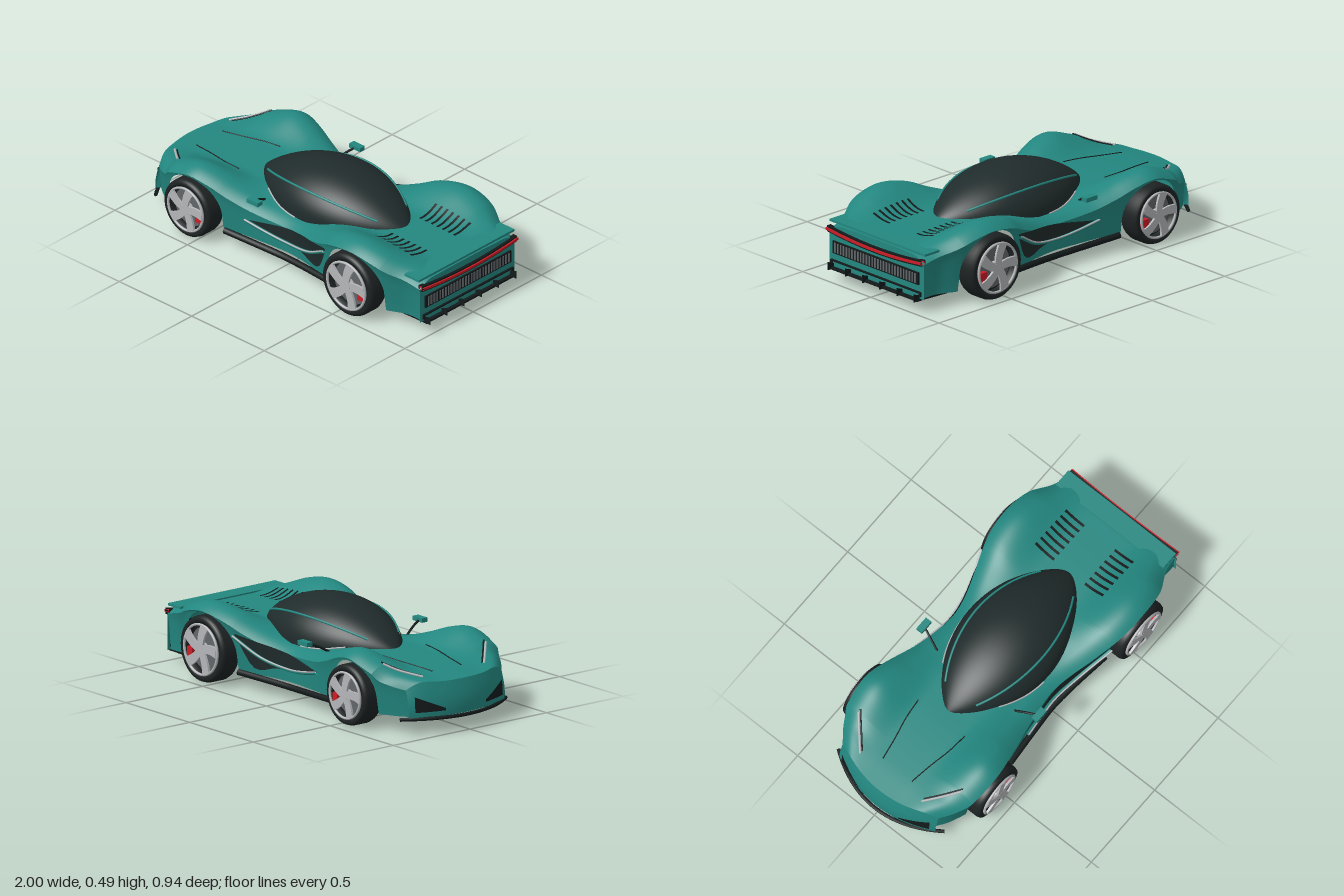
import * as THREE from 'three';

const mat = (name, color) => Object.assign(
  new THREE.MeshStandardMaterial({ color, side: THREE.DoubleSide }), { name });
const paint = mat('teal paint', 0x238780);
const glass = mat('dark glass', 0x202b2b);
const trim = mat('black trim', 0x141a1a);
const rubber = mat('tyre rubber', 0x1d2222);
const silver = mat('silver', 0xb4b6b9);
const gunmetal = mat('gunmetal', 0x62666a);
const red = mat('red', 0xcc1c26);

const { clamp, lerp, smoothstep } = THREE.MathUtils;
const V = (x, y, z) => new THREE.Vector3(x, y, z);

// Smooth curve through [x, value] pairs
function curve(pts) {
  const slope = i => {
    const a = pts[Math.max(i - 1, 0)], b = pts[Math.min(i + 1, pts.length - 1)];
    return (b[1] - a[1]) / (b[0] - a[0]);
  };
  return x => {
    x = clamp(x, pts[0][0], pts[pts.length - 1][0]);
    let i = 0;
    while (i < pts.length - 2 && x > pts[i + 1][0]) i++;
    const [x0, y0] = pts[i], [x1, y1] = pts[i + 1], h = x1 - x0, t = (x - x0) / h;
    const t2 = t * t, t3 = t2 * t;
    return (2 * t3 - 3 * t2 + 1) * y0 + (t3 - 2 * t2 + t) * h * slope(i)
      + (3 * t2 - 2 * t3) * y1 + (t3 - t2) * h * slope(i + 1);
  };
}

// Grid surface from a rule fn(u, v); us and vs are parameter lists
function sheet(us, vs, fn) {
  const pos = [], idx = [], n = vs.length;
  us.forEach((u, i) => vs.forEach((v, j) => {
    pos.push(...fn(u, v));
    if (i && j) {
      const d = i * n + j, c = d - 1, b = d - n, a = b - 1;
      idx.push(a, b, c, b, d, c);
    }
  }));
  const g = new THREE.BufferGeometry();
  g.setAttribute('position', new THREE.Float32BufferAttribute(pos, 3));
  g.setIndex(idx);
  g.computeVertexNormals();
  return g;
}
const range = (a, b, n) => Array.from({ length: n + 1 }, (_, i) => lerp(a, b, i / n));

// Body rules along the length: half width, fender height, centre height, side tuck
const NOSE = -0.955, TAIL = 0.96;
const width = curve([[-0.97, 0.3], [-0.9, 0.355], [-0.8, 0.393], [-0.7, 0.416], [-0.55, 0.427], [-0.4, 0.4],
  [-0.2, 0.35], [0, 0.322], [0.12, 0.338], [0.3, 0.395], [0.42, 0.432], [0.58, 0.445], [0.74, 0.425], [0.86, 0.365], [0.96, 0.347]]);
const fender = curve([[-0.97, 0.262], [-0.88, 0.287], [-0.8, 0.305], [-0.68, 0.352], [-0.56, 0.387], [-0.45, 0.367],
  [-0.33, 0.322], [-0.2, 0.285], [0, 0.267], [0.15, 0.28], [0.3, 0.327], [0.42, 0.378], [0.57, 0.404], [0.7, 0.382], [0.82, 0.335], [0.96, 0.297]]);
const middle = curve([[-0.97, 0.258], [-0.8, 0.282], [-0.5, 0.3], [0, 0.3], [0.5, 0.312], [0.85, 0.308], [0.96, 0.3]]);
const tuck = curve([[-0.97, 0.03], [-0.5, 0.045], [0, 0.005], [0.5, 0.06], [0.8, 0.045], [0.96, 0.02]]);
const wheels = [{ name: 'front', x: -0.56, r: 0.157, y: 0.162, arch: 0.176, z: 0.391 },
  { name: 'rear', x: 0.56, r: 0.172, y: 0.173, arch: 0.19, z: 0.403 }];

const shoulder = x => fender(x) - 0.038;
const deck = (x, z) => lerp(middle(x), fender(x), smoothstep(Math.abs(z), 0.12, width(x) - 0.09));
const side = (x, y) => width(x) - tuck(x) * Math.pow(clamp((shoulder(x) - y) / (shoulder(x) - 0.08), 0, 1), 0.7);
const bend = (x, z) => 0.85 * clamp((-0.72 - x) / 0.235, 0, 1) * z * z;
const floor = x => (x > 0.6 ? 0.07 : 0.088);
function lowerEdge(x) {
  for (const w of wheels) {
    const d = Math.abs(x - w.x);
    if (d < w.arch) return Math.min(w.y + Math.sqrt(w.arch ** 2 - d * d), shoulder(x) - 0.003);
  }
  return floor(x);
}
function bodyPoint(x, v) {
  const a = Math.abs(v), w = width(x), peak = w - 0.09;
  let y, z;
  if (a < 0.5) { z = peak * a / 0.5; y = deck(x, z); }
  else if (a < 0.7) { const s = (a - 0.5) / 0.2; z = peak + 0.09 * s; y = fender(x) - 0.038 * s * s; }
  else { y = lerp(shoulder(x), lowerEdge(x), (a - 0.7) / 0.3); z = side(x, y); }
  return [x + bend(x, z), y, Math.sign(v) * z];
}
// Forward lean of the nose face, r running from top to bottom
const noseLean = r => -0.026 * Math.sin(Math.PI * 0.62 * r);

export function createModel() {
  const car = new THREE.Group();
  car.name = 'sports car';
  const add = (name, geo, material, parent = car) => {
    const m = new THREE.Mesh(geo, material);
    m.name = name;
    parent.add(m);
    return m;
  };
  const box = (name, w, h, d, x, y, z, material) =>
    add(name, new THREE.BoxGeometry(w, h, d), material).position.set(x, y, z);
  const tube = (name, pts, r, material) =>
    add(name, new THREE.TubeGeometry(new THREE.CatmullRomCurve3(pts), 24, r, 8), material);

  // Body shell with extra stations at the wheel arch edges
  const stations = range(NOSE, TAIL, 90);
  for (const w of wheels) for (const s of [-1, 1])
    for (const d of [0.0003, -0.0003, -0.002, -0.006, -0.013]) stations.push(w.x + s * (w.arch + d));
  stations.sort((a, b) => a - b);
  const across = [...range(-1, -0.7, 8), ...range(-0.7, 0.7, 56), ...range(0.7, 1, 8)];
  add('body shell', sheet(stations, across, bodyPoint), paint);

  // Nose and tail faces; the sides of the nose stay joined to the shell
  for (const [name, x, lean] of [['nose', NOSE, noseLean], ['tail', TAIL, () => 0]])
    add(name, sheet(range(0, 1, 8), across, (r, v) => {
      const [px, py, pz] = bodyPoint(x, v);
      return [px + lean(r) * smoothstep(1 - Math.abs(v), 0, 0.3), lerp(py, floor(x), r), pz];
    }), paint);

  // Canopy, lens shaped from above
  const canopy = (u, a, k = 1) => {
    const f = Math.max(1 - u * u, 0), c = Math.cos(a), s = Math.sin(a);
    return [0.065 + 0.492 * u, 0.29 + 0.198 * k * Math.pow(f, 0.88) * s - (s < 0.01 ? 0.022 : 0), 0.262 * k * Math.pow(f, 0.78) * c];
  };
  add('canopy', sheet(range(-1, 1, 48), [0, ...range(0.02, Math.PI - 0.02, 28), Math.PI], (u, a) => canopy(u, a)), glass);

  for (const s of [1, -1]) {
    const sd = s > 0 ? 'left' : 'right';
    // Roof trim and bright strip at the canopy base
    tube('roof trim', range(-0.78, 0.76, 16).map(u => {
      const [x, y, z] = canopy(u, 0.66, 1.012);
      return V(x, y, s * z);
    }), 0.006, paint);
    tube('canopy base strip', range(-0.62, -0.1, 8).map(u => {
      const [x, , z] = canopy(u, 0.02, 1.02);
      return V(x, deck(x, z) + 0.003, s * z);
    }), 0.004, silver);

    // Mirrors
    tube('mirror stalk', [V(-0.2, 0.28, s * 0.25), V(-0.18, 0.315, s * 0.31), V(-0.16, 0.335, s * 0.365)], 0.006, trim);
    box('mirror', 0.075, 0.022, 0.036, -0.155, 0.338, s * 0.375, paint);

    // Door vent with blade
    const upper = x => lerp(0.194, 0.287, (x + 0.22) / 0.58);
    const lower = curve([[-0.22, 0.188], [-0.05, 0.152], [0.12, 0.143], [0.27, 0.125], [0.36, 0.27]]);
    add('door vent', sheet(range(-0.22, 0.36, 24), range(0, 1, 3), (x, t) => {
      const y = lerp(lower(x), upper(x), t);
      return [x, y, s * (side(x, y) + 0.004)];
    }), glass);
    const blade = [[-0.23, 0.195], [-0.1, 0.167], [0.02, 0.155], [0.2, 0.185], [0.36, 0.272]];
    tube('vent blade', blade.map(([x, y]) => V(x, y, s * (side(x, y) + 0.016))), 0.009, paint);
    tube('vent edge', blade.map(([x, y]) => V(x, y + 0.007, s * (side(x, y) + 0.024))), 0.0045, silver);

    // Sill skirt
    tube('side skirt', [V(-0.37, 0.08, s * 0.365), V(-0.15, 0.072, s * 0.345), V(0, 0.068, s * 0.335),
      V(0.15, 0.072, s * 0.345), V(0.37, 0.08, s * 0.372)], 0.017, trim);

    // Hood creases and headlight slits
    tube('hood crease', [[-0.82, 0.095], [-0.7, 0.115], [-0.58, 0.14], [-0.47, 0.152]]
      .map(([x, z]) => V(x, deck(x, z) + 0.001, s * z)), 0.003, trim);
    for (const [o, r, m, n] of [[0, 0.006, silver, 'headlight'], [0.016, 0.004, trim, 'headlight surround']])
      tube(n, [0, 0.33, 0.66, 1].map(t => {
        const x = lerp(-0.87, -0.72, t) + o, z = lerp(0.2, 0.335, t);
        return V(x, deck(x - bend(x, z), z) + 0.003, s * z);
      }), r, m);

    // Front intake, following the nose face
    add('front intake', sheet(range(0, 1, 6), range(0, 1, 2), (t, r) => {
      const z = lerp(0.13, 0.285, t);
      return [NOSE - 0.029 + 0.85 * z * z + 0.006 * r * t, 0.115 + r * lerp(0.012, 0.08, t), s * z];
    }), trim);

    // Engine louvres lying on the deck
    for (let i = 0; i < 7; i++) {
      const x0 = 0.54 + i * 0.039;
      add('engine louvre', sheet([x0 - 0.007, x0 + 0.007], range(0.1, 0.22, 6),
        (x, z) => [x, deck(x, z) + 0.004, s * z]), trim);
    }

    // Wheels
    for (const w of wheels) {
      const g = new THREE.Group();
      g.name = `${w.name} ${sd} wheel`;
      g.position.set(w.x, w.y, s * w.z);
      g.scale.set(w.r / 0.17, w.r / 0.17, 1);
      if (s < 0) g.rotation.y = Math.PI;
      car.add(g);
      const profile = [[0.128, -0.052], [0.15, -0.06], [0.164, -0.053], [0.17, -0.036], [0.17, 0.036],
        [0.164, 0.053], [0.15, 0.058], [0.134, 0.054], [0.13, 0.02]].map(p => new THREE.Vector2(...p));
      add('tyre', new THREE.LatheGeometry(profile, 48).rotateX(Math.PI / 2), rubber, g);
      add('wheel back', new THREE.CylinderGeometry(0.13, 0.13, 0.06, 40).rotateX(Math.PI / 2), rubber, g).position.z = -0.018;
      add('brake disc', new THREE.CylinderGeometry(0.112, 0.112, 0.02, 32).rotateX(Math.PI / 2), gunmetal, g).position.z = 0.016;
      add('rim', new THREE.TorusGeometry(0.128, 0.007, 8, 48), silver, g).position.z = 0.06;
      add('hub', new THREE.CylinderGeometry(0.028, 0.032, 0.035, 24).rotateX(Math.PI / 2), silver, g).position.z = 0.05;
      add('brake caliper', new THREE.BoxGeometry(0.04, 0.048, 0.026), red, g).position.set(s * 0.09, -0.028, 0.044);
      const spoke = new THREE.Shape();
      spoke.moveTo(-0.02, 0.015);
      spoke.quadraticCurveTo(-0.022, 0.07, 0.006, 0.127);
      spoke.lineTo(0.06, 0.112);
      spoke.quadraticCurveTo(0.026, 0.07, 0.02, 0.015);
      for (let i = 0; i < 5; i++)
        add('spoke', new THREE.ExtrudeGeometry(spoke, { depth: 0.012, bevelEnabled: false, curveSegments: 6 })
          .translate(0, 0, 0.055).rotateZ(i * Math.PI * 0.4), silver, g);
    }
  }

  // Front splitter
  tube('front splitter', range(-0.345, 0.345, 12).map(z => V(-0.99 + 1.05 * z * z, 0.08, z)), 0.01, trim);

  // Spoiler lip and curved tail light
  box('spoiler', 0.1, 0.012, 0.7, 0.905, 0.309, 0, paint);
  const lamp = (name, y0, h, x0, x1, m) => add(name, sheet(range(-0.348, 0.348, 16), [0, 1, 2, 3, 4], (z, i) => {
    const [x, y] = [[x0, 0], [x1, 0], [x1, h], [x0, h], [x0, 0]][i];
    return [x, y0 + 0.18 * z * z + y, z];
  }).toNonIndexed(), m).geometry.computeVertexNormals();
  lamp('tail light housing', 0.233, 0.031, 0.95, 0.976, trim);
  lamp('tail light', 0.243, 0.013, 0.955, 0.984, red);

  // Rear grille with bars
  box('rear grille', 0.012, 0.066, 0.63, 0.963, 0.178, 0, trim);
  for (let i = 0; i < 29; i++) box('grille bar', 0.006, 0.052, 0.01, 0.969, 0.178, (i - 14) * 0.021, gunmetal);

  // Lower bumper line and diffuser
  box('bumper line', 0.012, 0.008, 0.65, 0.964, 0.105, 0, trim);
  for (const s of [1, -1]) box('bumper line end', 0.012, 0.024, 0.012, 0.964, 0.096, s * 0.324, trim);
  box('diffuser', 0.23, 0.012, 0.64, 0.865, 0.065, 0, trim);
  const fin = new THREE.Shape([[0.74, 0.05], [1, 0.06], [1, 0.103], [0.95, 0.085]].map(p => new THREE.Vector2(...p)));
  for (let i = 0; i < 6; i++)
    add('diffuser fin', new THREE.ExtrudeGeometry(fin, { depth: 0.003, bevelEnabled: false }), trim)
      .position.z = (i - 2.5) * 0.126 - 0.0015;
  return car;
}
